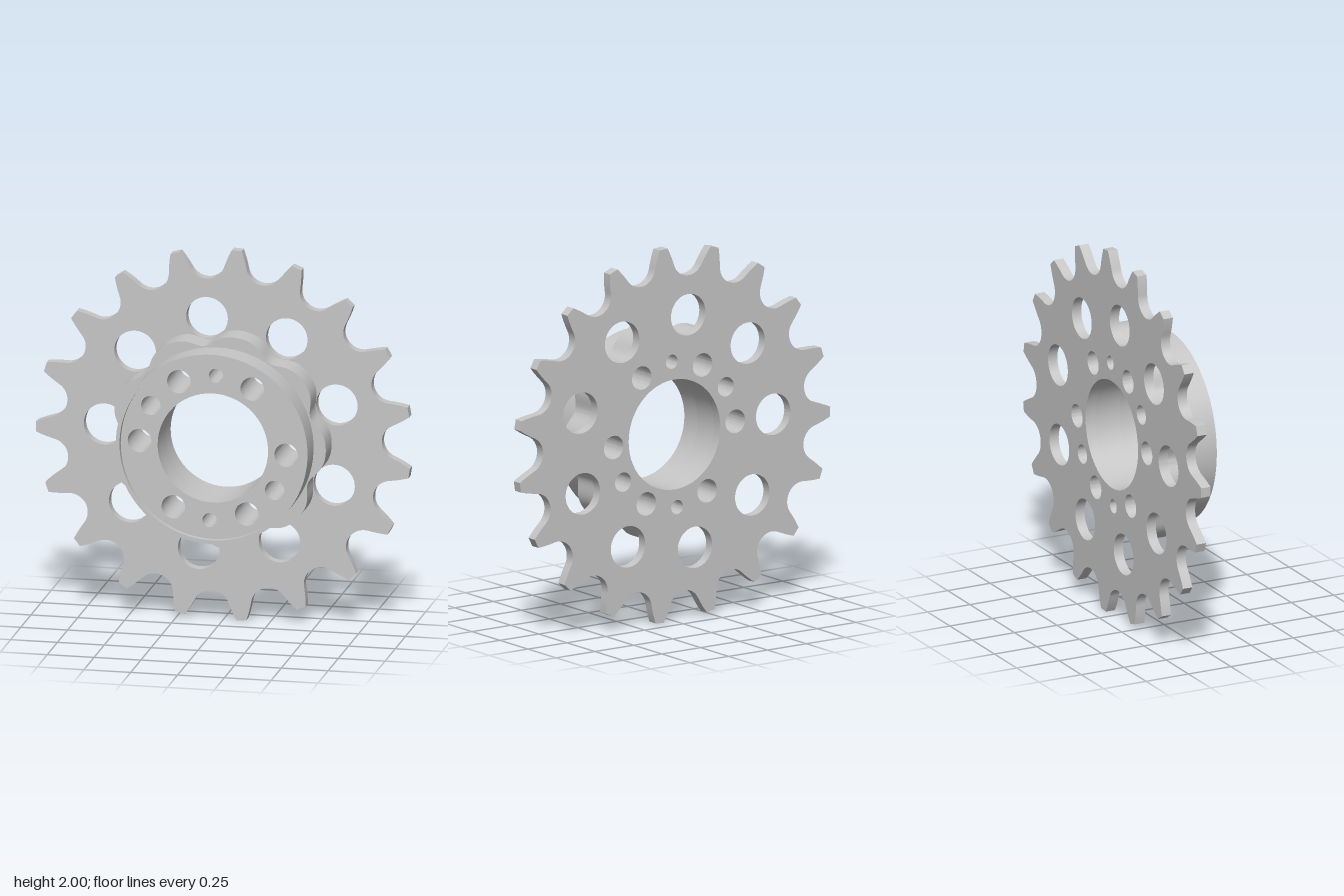
import * as THREE from 'three';
import { toCreasedNormals } from 'three/addons/utils/BufferGeometryUtils.js';

const RAD = Math.PI / 180;
const TEETH = 19;
const polar = (r, deg) => new THREE.Vector2(r * Math.cos(deg * RAD), r * Math.sin(deg * RAD));

// Toothed outline: round roller seats joined by tapering flanks with flat tips
function toothOutline() {
  const pitch = 360 / TEETH, seatR = 0.097, pitchR = 0.942, tipR = 1.003;
  const half = [];
  for (let a = 0; a <= 65; a += 6.5) {
    half.push([seatR * Math.sin(a * RAD), pitchR - seatR * Math.cos(a * RAD)]);
  }
  const tip = polar(tipR, 90 - (pitch / 2 - 1.5));
  const start = half[half.length - 1];
  const flank = new THREE.QuadraticBezierCurve(
    new THREE.Vector2(...start), new THREE.Vector2(start[0] + 0.023, start[1] + 0.05), tip);
  flank.getPoints(6).slice(1).forEach(p => half.push([p.x, p.y]));
  // u runs counter-clockwise, v runs outwards
  const valley = half.slice(1).reverse().map(([u, v]) => [-u, v]).concat(half);
  const points = [];
  for (let k = 0; k < TEETH; k++) {
    const a = (86 + pitch * (k + 0.5)) * RAD, c = Math.cos(a), s = Math.sin(a);
    valley.forEach(([u, v]) => points.push(new THREE.Vector2(v * c - u * s, v * s + u * c)));
  }
  return points;
}

// Flange outline: scalloped to clear the nine lightening holes
function scallopOutline() {
  const points = [];
  for (let i = 0; i < 360; i++) {
    const deg = i + 98;
    const t = ((i + 20) % 40) - 20;
    points.push(polar(0.578 - 0.058 * Math.exp(-((t / 9) ** 2)), deg));
  }
  return points;
}

function circleOutline(r, n = 96) {
  return Array.from({ length: n }, (_, i) => polar(r, (i * 360) / n));
}

function addHole(shape, r, x, y) {
  const hole = new THREE.Path();
  hole.absarc(x, y, r, 0, Math.PI * 2, true);
  shape.holes.push(hole);
}

// Central bore and the ring of ten bolt and pin holes
function addHubHoles(shape) {
  addHole(shape, 0.295, 0, 0);
  const ring = [[-2.5, 0.063], [57.5, 0.063], [87.5, 0.038], [117.5, 0.063], [147.5, 0.052]];
  for (const turn of [0, 180]) {
    for (const [deg, r] of ring) {
      const p = polar(0.392, deg + turn);
      addHole(shape, r, p.x, p.y);
    }
  }
}

export function createModel() {
  const group = new THREE.Group();
  group.name = 'sprocket';
  const steel = new THREE.MeshStandardMaterial({ color: 0xc6c6c6 });
  steel.name = 'light grey steel';

  const addPart = (name, shape, z0, z1) => {
    const extruded = new THREE.ExtrudeGeometry(shape, {
      depth: z1 - z0, bevelEnabled: false, curveSegments: 28,
    });
    const mesh = new THREE.Mesh(toCreasedNormals(extruded, 0.45), steel);
    mesh.name = name;
    mesh.position.set(0.003, 1, z0);
    group.add(mesh);
  };

  // Toothed plate with nine lightening holes
  const plate = new THREE.Shape(toothOutline());
  addHubHoles(plate);
  for (let k = 0; k < 9; k++) {
    const p = polar(0.636, 98 + 40 * k);
    addHole(plate, 0.111, p.x, p.y);
  }
  addPart('toothedPlate', plate, -0.175, -0.12);

  // Scalloped flange
  const flange = new THREE.Shape(scallopOutline());
  addHubHoles(flange);
  addPart('scallopedFlange', flange, -0.12, 0.025);

  // Round hub, its front face recessed inside a thin rim
  const hub = new THREE.Shape(circleOutline(0.492));
  addHubHoles(hub);
  addPart('hubCore', hub, 0.025, 0.145);
  const rim = new THREE.Shape(circleOutline(0.512));
  rim.holes.push(new THREE.Path(circleOutline(0.492).reverse()));
  addPart('hubRim', rim, 0.025, 0.175);

  return group;
}
